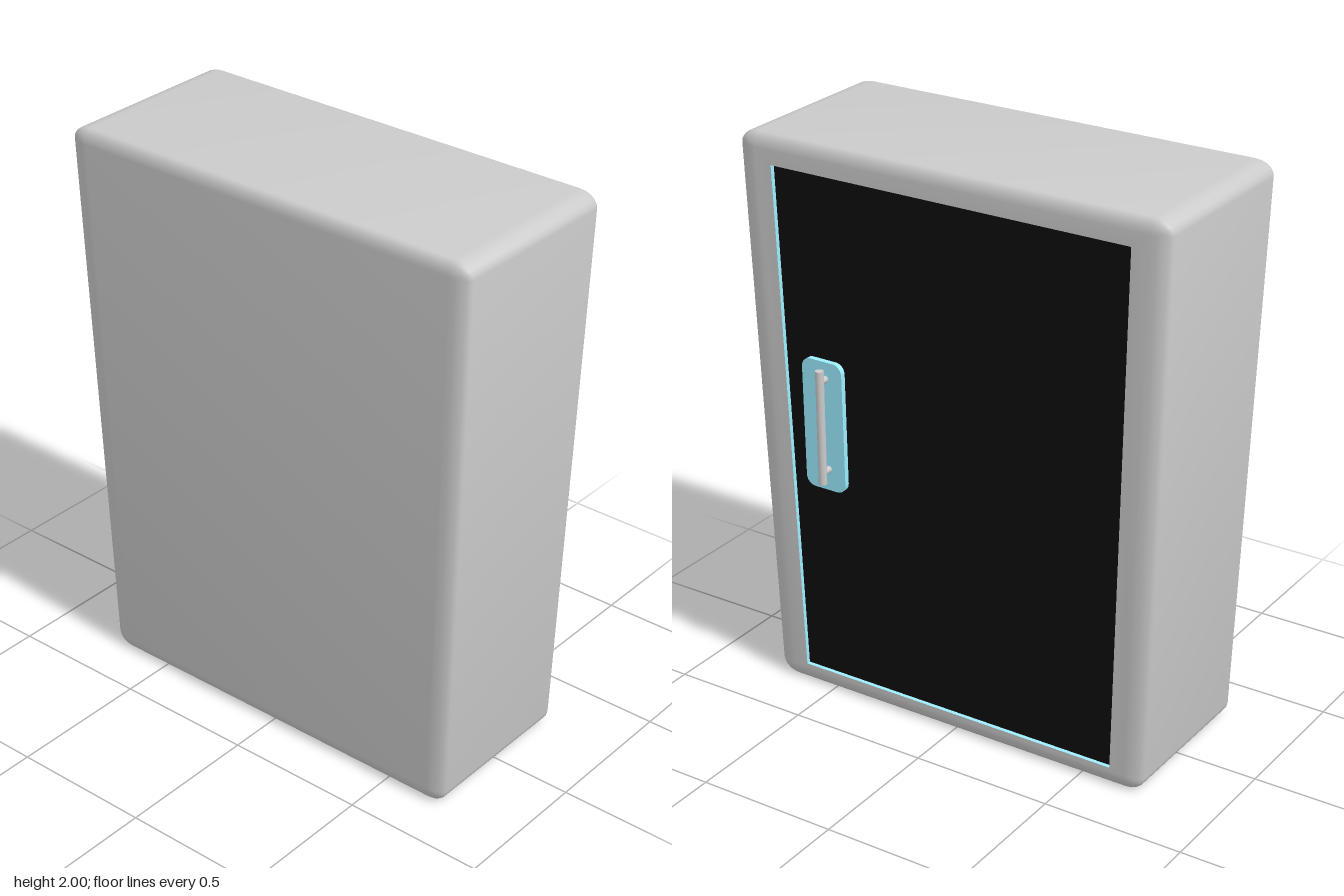
import * as THREE from 'three';
import { toCreasedNormals } from 'three/addons/utils/BufferGeometryUtils.js';

const W = 0.8, H = 2, D = 0.3375;          // half width, height, half depth
const RX = 0.07, RY = 0.05, RZ = 0.03;     // edge rounding along each axis
const SEG = 5;

// The whole cabinet narrows towards the floor in both width and depth.
const taper = ([x, y, z]) => [x * (0.915 + 0.0425 * y), y, 0.0175 + z * (0.911 + 0.0445 * y)];

// Rounded rectangle, counter-clockwise seen from the front.
function section(hx, y0, y1, z, rx = 0, ry = 0) {
  const pts = [];
  const corners = [[1, y0, 1], [1, y1, -1], [-1, y1, -1], [-1, y0, 1]];
  corners.forEach(([sx, y, sy], c) => {
    for (let i = 0; i <= SEG; i++) {
      const a = (c - 1 + i / SEG) * Math.PI / 2;
      pts.push(taper([sx * (hx - rx) + rx * Math.cos(a), y + sy * ry + ry * Math.sin(a), z]));
    }
  });
  return pts;
}

// Skin through a list of matching outlines.
function loft(sections) {
  const n = sections[0].length, index = [];
  for (let i = 0; i < sections.length - 1; i++) {
    for (let j = 0; j < n; j++) {
      const a = i * n + j, b = i * n + (j + 1) % n, c = a + n, d = b + n;
      index.push(a, c, b, b, c, d);
    }
  }
  const g = new THREE.BufferGeometry();
  g.setAttribute('position', new THREE.Float32BufferAttribute(sections.flat(2), 3));
  g.setIndex(index);
  return toCreasedNormals(g, 0.7);
}

export function createModel() {
  const group = new THREE.Group();
  const mat = (color) => new THREE.MeshStandardMaterial({ color });
  const grey = mat(0xcccccc), teal = mat(0x9beeff), black = mat(0x0d0d0d);
  const add = (name, geometry, material, parent = group) => {
    const mesh = new THREE.Mesh(geometry, material);
    mesh.name = name;
    parent.add(mesh);
    return mesh;
  };

  // Shell: front face, rounded edges, sides, then the rim round the door opening
  const edge = (t, side) => {
    const a = 1 - Math.cos(t), k = 1 - a;
    return section(W - RX * a, RY * a, H - RY * a, side * (D - RZ + RZ * Math.sin(t)), RX * k, RY * k);
  };
  const steps = Array.from({ length: SEG + 1 }, (_, i) => i / SEG * Math.PI / 2);
  const opening = (z) => section(0.67, 0.065, 1.9, z);
  const floorZ = -D + 0.016;
  add('cabinetShell', loft([
    section(0, 1, 1, D),
    ...[...steps].reverse().map((t) => edge(t, 1)),
    ...steps.map((t) => edge(t, -1)),
    opening(-D),
  ]), grey);

  // Shallow recess with the dark door panel at its bottom
  add('doorRecessEdge', loft([opening(-D), opening(floorZ)]), teal);
  add('doorPanel', loft([opening(floorZ), section(0, 1, 1, floorZ)]), black);

  // Handle: rounded plate, two posts and an upright bar
  const handle = new THREE.Group();
  handle.name = 'doorHandle';
  handle.position.set(0.485, 1.03, 0);
  group.add(handle);

  const w = 0.08, h = 0.235, r = 0.035;
  const shape = new THREE.Shape();
  shape.absarc(w - r, h - r, r, 0, Math.PI / 2);
  shape.absarc(r - w, h - r, r, Math.PI / 2, Math.PI);
  shape.absarc(r - w, r - h, r, Math.PI, Math.PI * 1.5);
  shape.absarc(w - r, r - h, r, Math.PI * 1.5, Math.PI * 2);
  const plate = add('handlePlate',
    new THREE.ExtrudeGeometry(shape, { depth: 0.022, bevelEnabled: false, curveSegments: 6 }), teal, handle);
  plate.position.set(0.01, -0.01, -0.309);
  plate.rotation.x = -0.015;

  for (const y of [-0.165, 0.165]) {
    const post = add('handlePost', new THREE.CylinderGeometry(0.012, 0.012, 0.045, 10), grey, handle);
    post.rotation.x = Math.PI / 2;
    post.position.set(-0.005, y, -0.322);
  }
  add('handleBar', new THREE.CylinderGeometry(0.015, 0.015, 0.41, 10), grey, handle)
    .position.set(-0.005, 0, -0.343);

  return group;
}
